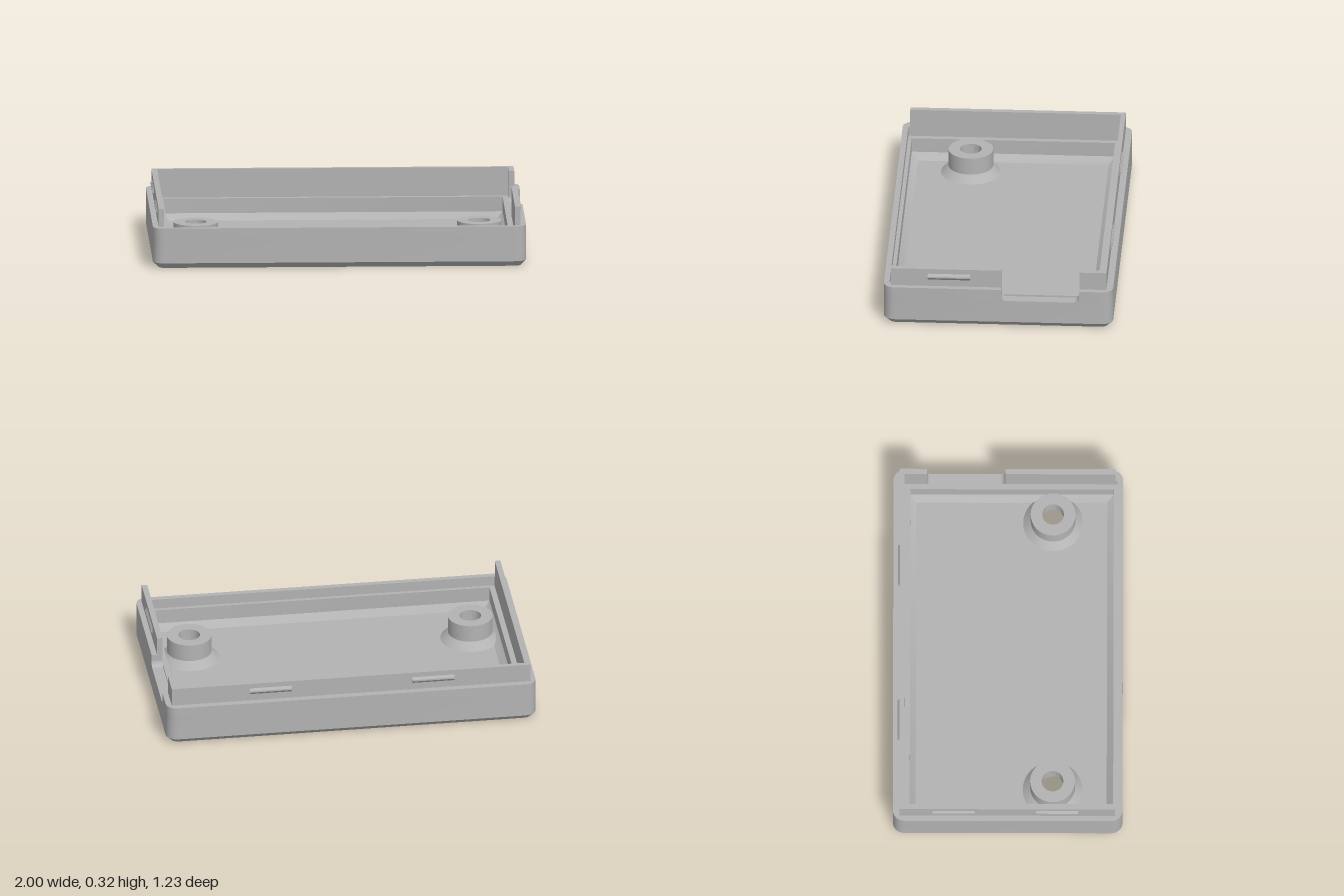
import * as THREE from 'three';
import { toCreasedNormals } from 'three/addons/utils/BufferGeometryUtils.js';

const grey = new THREE.MeshStandardMaterial({ color: 0xb3b3b3 });
grey.name = 'grey plastic';

const BOSS_X = 0.76, BOSS_Z = 0.24, BORE = 0.1;
const FLOOR = 0.05, LEDGE = 0.165, NOTCH = 0.155, RIM = 0.22, TOP = 0.32;
const NOTCH_FRONT = -0.015, NOTCH_BACK = -0.435;

function part(name, geometry) {
  const mesh = new THREE.Mesh(toCreasedNormals(geometry, Math.PI / 5), grey);
  mesh.name = name;
  return mesh;
}

// Rounded rectangle outline in plan, anticlockwise from above
function outline(hx, zBack, zFront, r) {
  const pts = [], n = 6;
  const corners = [[hx - r, zFront - r], [hx - r, zBack + r], [-hx + r, zBack + r], [-hx + r, zFront - r]];
  corners.forEach(([cx, cz], k) => {
    for (let i = 0; i <= n; i++) {
      const a = (k - 1 + i / n) * Math.PI / 2;
      pts.push([cx + r * Math.cos(a), cz - r * Math.sin(a)]);
    }
  });
  return pts;
}

// Skin joining a series of outlines at given heights
function loft(levels) {
  const n = levels[0].pts.length, pos = [], idx = [];
  levels.forEach(({ pts, y }) => pts.forEach(([x, z]) => pos.push(x, y, z)));
  for (let l = 0; l < levels.length - 1; l++) {
    for (let i = 0; i < n; i++) {
      const j = (i + 1) % n, a = l * n + i, b = l * n + j;
      idx.push(a, b, b + n, a, b + n, a + n);
    }
  }
  const g = new THREE.BufferGeometry();
  g.setAttribute('position', new THREE.Float32BufferAttribute(pos, 3));
  g.setIndex(idx);
  return g;
}

// Flat panel with the two screw bores
function panel(pts, y, up) {
  const s = new THREE.Shape(pts.map(([x, z]) => new THREE.Vector2(x, up ? -z : z)));
  for (const side of [-1, 1]) {
    const hole = new THREE.Path();
    hole.absarc(side * BOSS_X, up ? -BOSS_Z : BOSS_Z, BORE, 0, Math.PI * 2, true);
    s.holes.push(hole);
  }
  return new THREE.ShapeGeometry(s, 24).rotateX(up ? -Math.PI / 2 : Math.PI / 2).translate(0, y, 0);
}

// Upright extrusion of a plan polygon given as [x, z]
function wall(pts, y0, y1) {
  const s = new THREE.Shape(pts.map(([x, z]) => new THREE.Vector2(x, -z)));
  return new THREE.ExtrudeGeometry(s, { depth: y1 - y0, bevelEnabled: false })
    .rotateX(-Math.PI / 2).translate(0, y0, 0);
}

export function createModel() {
  const model = new THREE.Group();
  model.name = 'enclosureHalf';

  // Tray: chamfered outside, ledge and sloped inner foot
  const bottom = outline(0.97, -0.585, 0.585, 0.035);
  const outer = outline(1, -0.615, 0.615, 0.06);
  const cavity = outline(0.94, -0.555, 0.585, 0.001);
  const ledge = outline(0.91, -0.525, 0.565, 0.001);
  const floor = outline(0.875, -0.493, 0.53, 0.001);
  model.add(part('tray', loft([
    { pts: bottom, y: 0 }, { pts: outer, y: 0.03 }, { pts: outer, y: NOTCH },
    { pts: cavity, y: NOTCH }, { pts: cavity, y: LEDGE }, { pts: ledge, y: LEDGE },
    { pts: ledge, y: 0.085 }, { pts: floor, y: FLOOR },
  ])));
  model.add(part('underside', panel(bottom, 0, false)));
  model.add(part('floor', panel(floor, FLOOR, true)));

  // Upper wall, interrupted by the notch on the left side
  const half = outer.length / 4;
  model.add(part('upperWall', wall([
    [1, NOTCH_BACK], ...outer.slice(half), ...outer.slice(0, half), [1, NOTCH_FRONT],
    [0.94, NOTCH_FRONT], [0.94, 0.585], [-0.94, 0.585], [-0.94, -0.555],
    [0.94, -0.555], [0.94, NOTCH_BACK],
  ], NOTCH, RIM)));

  // Thin raised lip on three sides
  model.add(part('lip', wall([
    [0.97, NOTCH_BACK], [0.97, -0.58], [-0.97, -0.58], [-0.97, 0.575], [-0.94, 0.575],
    [-0.94, -0.555], [0.94, -0.555], [0.94, NOTCH_BACK],
  ], RIM, TOP)));
  model.add(part('frontLip', wall([
    [0.97, NOTCH_FRONT], [0.97, 0.575], [0.94, 0.575], [0.94, NOTCH_FRONT],
  ], RIM, TOP)));

  // Rounded lower corners of the notch
  const r = 0.03;
  const fillet = new THREE.Shape();
  fillet.moveTo(0, 0);
  fillet.lineTo(r, 0);
  fillet.absarc(r, r, r, -Math.PI / 2, -Math.PI, true);
  for (const front of [true, false]) {
    const g = new THREE.ExtrudeGeometry(fillet, { depth: 0.06, bevelEnabled: false, curveSegments: 6 });
    g.rotateY(front ? Math.PI / 2 : -Math.PI / 2);
    g.translate(front ? 0.94 : 1, NOTCH, front ? NOTCH_FRONT : NOTCH_BACK);
    model.add(part('notchFillet', g));
  }

  // Screw bosses: conical foot, through hole and wide bore from below
  const profile = [
    [0.16, FLOOR], [0.12, 0.09], [0.12, 0.185], [0.058, 0.185], [0.058, 0.1], [BORE, 0.1], [BORE, 0],
  ].map(([x, y]) => new THREE.Vector2(x, y));
  for (const side of [-1, 1]) {
    const boss = part('screwBoss', new THREE.LatheGeometry(profile, 48));
    boss.position.set(side * BOSS_X, 0, BOSS_Z);
    model.add(boss);
  }

  // Snap ridges along the lip: x, z, turn
  const ridge = new THREE.Shape([[0, -0.02], [0.012, -0.004], [0.012, 0.004], [0, 0.02]]
    .map(([x, y]) => new THREE.Vector2(x, y)));
  const length = 0.226;
  const spots = [
    [0.968, 0.265, 0], [-0.968, 0.265, Math.PI], [-0.968, -0.29, Math.PI],
    [-0.445, -0.578, Math.PI / 2], [0.435, -0.578, Math.PI / 2],
  ];
  for (const [x, z, turn] of spots) {
    const g = new THREE.ExtrudeGeometry(ridge, { depth: length, bevelEnabled: false });
    const snap = part('snapRidge', g.translate(0, 0, -length / 2));
    snap.position.set(x, 0.275, z);
    snap.rotation.y = turn;
    model.add(snap);
  }
  return model;
}
